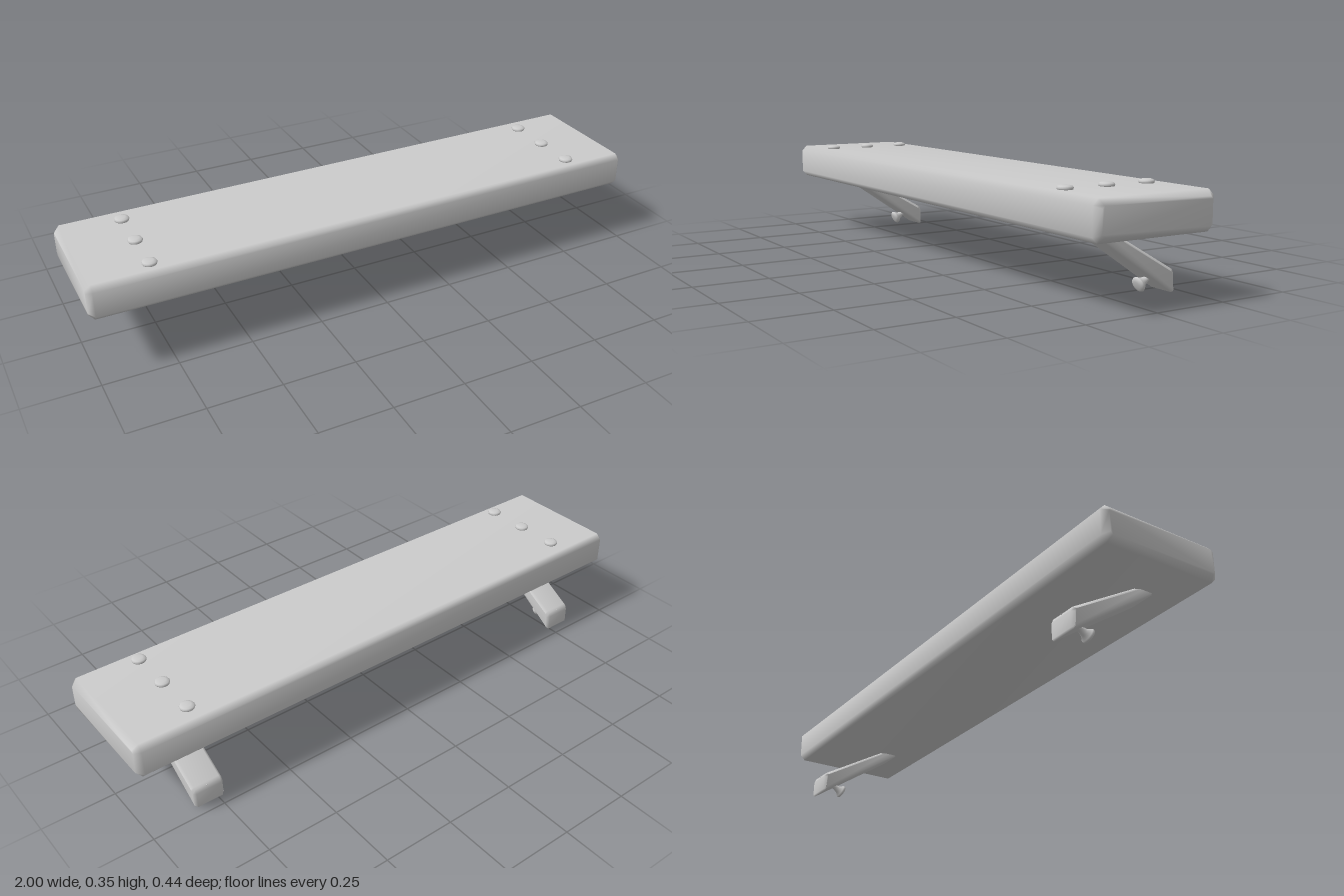
import * as THREE from 'three';
import { mergeVertices } from 'three/addons/utils/BufferGeometryUtils.js';

const material = new THREE.MeshStandardMaterial({ color: 0xcccccc });

// Extrudes a side outline of [z, y] points along x, with chamfered ends and smooth normals.
function bevelledBar(outline, width, bevel) {
  const shape = new THREE.Shape(outline.map(([z, y]) => new THREE.Vector2(z, y)));
  const raw = new THREE.ExtrudeGeometry(shape, {
    depth: width - 2 * bevel, bevelSize: bevel, bevelThickness: bevel,
    bevelOffset: -bevel, bevelSegments: 1,
  });
  raw.translate(0, 0, bevel - width / 2).rotateY(-Math.PI / 2);
  raw.deleteAttribute('normal');
  raw.deleteAttribute('uv');
  const geometry = mergeVertices(raw, 1e-4);
  geometry.computeVertexNormals();
  return geometry;
}

// Screw pointing down -y, its head's top at the origin.
function screwGeometry(length) {
  const profile = [
    [0, -length], [0.004, -length + 0.014], [0.007, -length + 0.03], [0.009, -0.042],
    [0.014, -0.024], [0.023, -0.013], [0.025, -0.008], [0.022, -0.003], [0.013, 0], [0, 0],
  ];
  return new THREE.LatheGeometry(profile.map(([r, y]) => new THREE.Vector2(r, y)), 20);
}

export function createModel() {
  const model = new THREE.Group();
  model.name = 'wallShelf';
  const add = (parent, name, geometry, x = 0, y = 0, z = 0) => {
    const mesh = new THREE.Mesh(geometry, material);
    mesh.name = name;
    mesh.position.set(x, y, z);
    parent.add(mesh);
    return mesh;
  };

  // Plank with chamfered edges
  const [z0, z1, y0, y1, c] = [-0.218, 0.219, 0.21, 0.334, 0.019];
  add(model, 'plank', bevelledBar([
    [z0 + c, y0], [z1 - c, y0], [z1, y0 + c], [z1, y1 - c],
    [z1 - c, y1], [z0 + c, y1], [z0, y1 - c], [z0, y0 + c],
  ], 2, c));

  // Slanted strut, let into the underside of the plank
  const strut = bevelledBar([
    [-0.211, 0.001], [0.144, 0.24], [0.082, 0.24], [-0.203, 0.077],
    [-0.211, 0.072], [-0.217, 0.058], [-0.218, 0.005],
  ], 0.107, 0.009);
  const plankScrew = screwGeometry(0.09);
  const wallScrew = screwGeometry(0.118);

  for (const side of [-1, 1]) {
    const bracket = new THREE.Group();
    bracket.name = side > 0 ? 'leftBracket' : 'rightBracket';
    model.add(bracket);
    const x = side * 0.785;
    add(bracket, 'strut', strut, x - 0.004);

    // Screws through the plank
    for (const z of [-0.14, 0.011, 0.161]) add(bracket, 'plankScrew', plankScrew, x - 0.002, 0.347, z);

    // Screw through the foot of the strut, its tip just showing at the back
    const screw = add(bracket, 'wallScrew', wallScrew, x, 0.025, -0.109);
    screw.rotation.x = Math.PI / 2 + THREE.MathUtils.degToRad(24);
  }
  return model;
}
